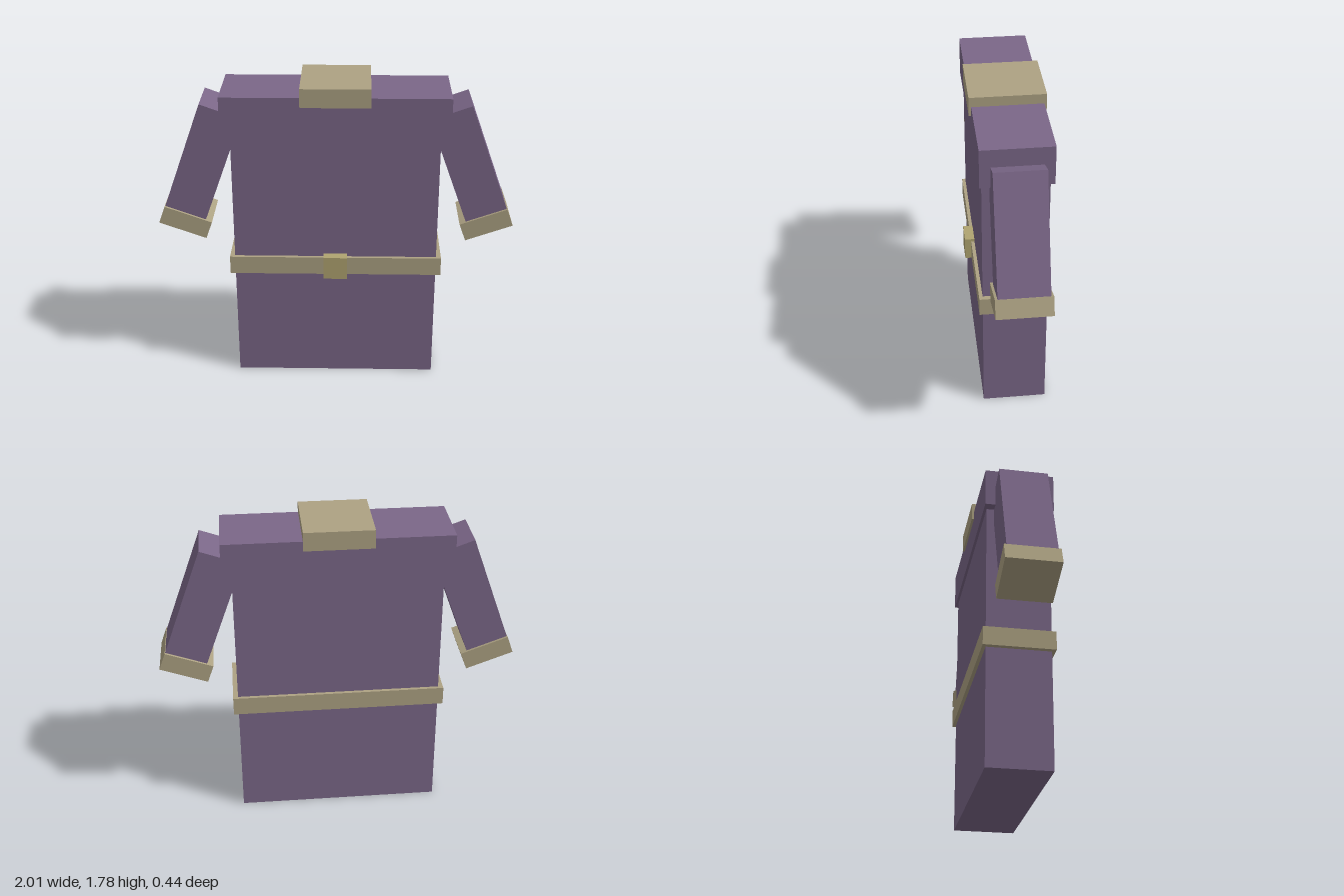
import * as THREE from 'three';

const material = (name, color) => {
  const m = new THREE.MeshStandardMaterial({ color });
  m.name = name;
  return m;
};

export function createModel() {
  const cloth = material('purpleCloth', 0x7b6788);
  const trim = material('tanTrim', 0xada283);
  const brass = material('buckleBrass', 0xb0a470);

  const model = new THREE.Group();
  model.name = 'tunic';

  const box = (name, mat, [w, h, d], [x, y, z], parent = model) => {
    const mesh = new THREE.Mesh(new THREE.BoxGeometry(w, h, d), mat);
    mesh.name = name;
    mesh.position.set(x, y, z);
    parent.add(mesh);
    return mesh;
  };

  const midZ = -0.013; // garment sits slightly behind the buckle

  // Torso, shoulders and neck
  box('body', cloth, [1.15, 1.6, 0.356], [0, 0.8, midZ]);
  box('shoulderYoke', cloth, [1.256, 0.22, 0.386], [0, 1.62, midZ]);
  box('collar', trim, [0.384, 0.106, 0.412], [0, 1.732, midZ]);

  // Belt and buckle
  box('belt', trim, [1.206, 0.106, 0.395], [0, 0.717, midZ]);
  box('buckle', brass, [0.134, 0.134, 0.06], [0, 0.719, 0.19]);

  // Sleeves swing outward from the shoulders, with cuffs at the ends
  for (const [side, s] of [['left', 1], ['right', -1]]) {
    const arm = new THREE.Group();
    arm.name = side + 'Arm';
    arm.position.set(s * 0.628, 1.629, midZ);
    arm.rotation.z = s * THREE.MathUtils.degToRad(20);
    box(side + 'Sleeve', cloth, [0.241, 0.68, 0.272], [0, -0.34, 0], arm);
    box(side + 'Cuff', trim, [0.281, 0.106, 0.3], [s * -0.017, -0.703, 0], arm);
    model.add(arm);
  }

  return model;
}
